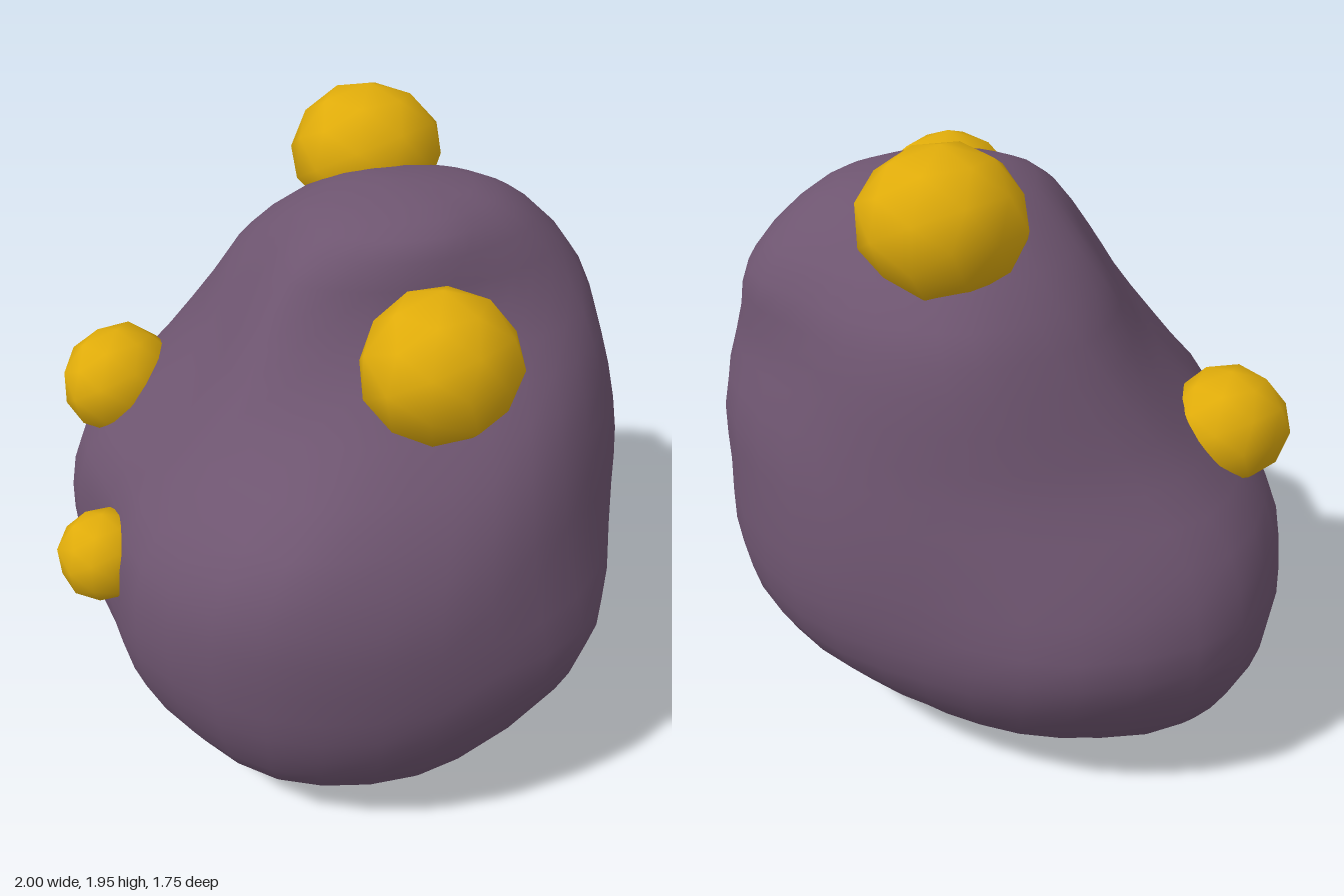
import * as THREE from 'three';
import { mergeVertices } from 'three/addons/utils/BufferGeometryUtils.js';

const COLS = 36, ROWS = 28;

// Body sections: height, centre x, centre z, then radii every 30 degrees from +x towards +z
const SECTIONS = [
  [0.10, 0, 0, .64, .72, .70, .56, .52, .65, .73, .59, .48, .43, .46, .54],
  [0.20, 0, 0, .79, .84, .82, .71, .67, .76, .84, .74, .65, .61, .64, .70],
  [0.40, 0, 0, .94, .94, .92, .82, .74, .85, .97, .89, .80, .81, .85, .87],
  [0.60, 0, 0, 1.0, .97, .95, .86, .73, .88, 1.0, .95, .84, .87, .91, .92],
  [0.85, 0, 0, .93, .95, .95, .82, .71, .82, .93, .87, .82, .86, .91, .92],
  [1.07, .05, -.05, .81, .81, .87, .71, .62, .68, .79, .78, .76, .78, .84, .84],
  [1.30, .10, -.15, .65, .56, .57, .63, .55, .59, .69, .70, .65, .61, .66, .69],
  [1.50, .08, -.22, .51, .46, .48, .55, .47, .50, .53, .55, .50, .49, .57, .58],
  [1.68, .12, -.20, .35, .36, .38, .40, .34, .32, .33, .32, .32, .36, .40, .39],
];

function ring([y, cx, cz, ...radii], scale = 1) {
  const pts = radii.map((r, i) => {
    const a = i * Math.PI / 6;
    return new THREE.Vector3(cx + Math.cos(a) * r * scale, y, cz + Math.sin(a) * r * scale);
  });
  const curve = new THREE.CatmullRomCurve3(pts, true, 'catmullrom', 0.5);
  return Array.from({ length: COLS }, (_, i) => curve.getPoint(i / COLS));
}

function smooth(geometry) {
  geometry.deleteAttribute('normal');
  geometry.deleteAttribute('uv');
  const merged = mergeVertices(geometry, 1e-4);
  merged.computeVertexNormals();
  return merged;
}

function bodyGeometry() {
  const base = ring(SECTIONS[0], 0.64).map((p) => p.add(new THREE.Vector3(0, -0.09, 0.04)));
  const crown = ring(SECTIONS[8], 0.58).map((p) => p.add(new THREE.Vector3(0.03, 0.072, 0)));
  const rings = [base, ...SECTIONS.map((s) => ring(s)), crown];
  const bottom = new THREE.Vector3(0, 0, 0.08), top = new THREE.Vector3(0.16, 1.78, -0.18);
  const positions = [], index = [];
  for (let j = 0; j < COLS; j++) {
    const column = new THREE.CatmullRomCurve3([bottom, ...rings.map((r) => r[j]), top], false, 'centripetal');
    for (let i = 0; i <= ROWS; i++) {
      const p = column.getPoint(i / ROWS);
      // Shallow cleft running diagonally under the body, fading out towards the front
      const d = (p.x + 0.7 * p.z) / 1.22;
      const fade = THREE.MathUtils.clamp(1 - p.y / 0.35, 0, 1) * THREE.MathUtils.clamp((0.65 - p.z) / 0.3, 0, 1);
      p.y = Math.max(0, p.y) + 0.085 * fade * Math.exp(-((d / 0.15) ** 2));
      positions.push(p.x, p.y, p.z);
      if (i === ROWS) continue;
      const a = j * (ROWS + 1) + i, b = ((j + 1) % COLS) * (ROWS + 1) + i;
      if (i > 0) index.push(a, a + 1, b);
      if (i < ROWS - 1) index.push(b, a + 1, b + 1);
    }
  }
  const g = new THREE.BufferGeometry();
  g.setAttribute('position', new THREE.Float32BufferAttribute(positions, 3));
  g.setIndex(index);
  return smooth(g);
}

// Slightly uneven low-poly ball
function noduleGeometry(rx, ry, rz, seed) {
  const g = smooth(new THREE.IcosahedronGeometry(1, 1));
  const pos = g.attributes.position, v = new THREE.Vector3();
  for (let i = 0; i < pos.count; i++) {
    v.fromBufferAttribute(pos, i);
    v.multiplyScalar(1 + 0.04 * Math.sin(v.x * 4 + seed) * Math.cos(v.y * 3 + v.z * 4 + seed * 2));
    pos.setXYZ(i, v.x * rx, v.y * ry, v.z * rz);
  }
  g.computeVertexNormals();
  return g;
}

export function createModel() {
  const model = new THREE.Group();
  model.name = 'lumpyRock';
  const purple = new THREE.MeshStandardMaterial({ color: 0x6e5570 });
  purple.name = 'dusty purple';
  const gold = new THREE.MeshStandardMaterial({ color: 0xe0ac0a });
  gold.name = 'golden yellow';

  const body = new THREE.Mesh(bodyGeometry(), purple);
  body.name = 'body';
  model.add(body);

  // Golden nodules half sunk into the body
  const nodules = [
    ['topNodule', [-.17, 1.735, -.41], [.243, .215, .248]],
    ['leftNodule', [.585, 1.46, .205], [.228, .218, .238]],
    ['rightNodule', [-.628, 1.035, .305], [.183, .18, .2]],
    ['frontNodule', [-.262, .73, .735], [.145, .145, .145]],
  ];
  nodules.forEach(([name, at, size], i) => {
    const mesh = new THREE.Mesh(noduleGeometry(...size, i + 1), gold);
    mesh.name = name;
    mesh.position.set(...at);
    model.add(mesh);
  });
  return model;
}
